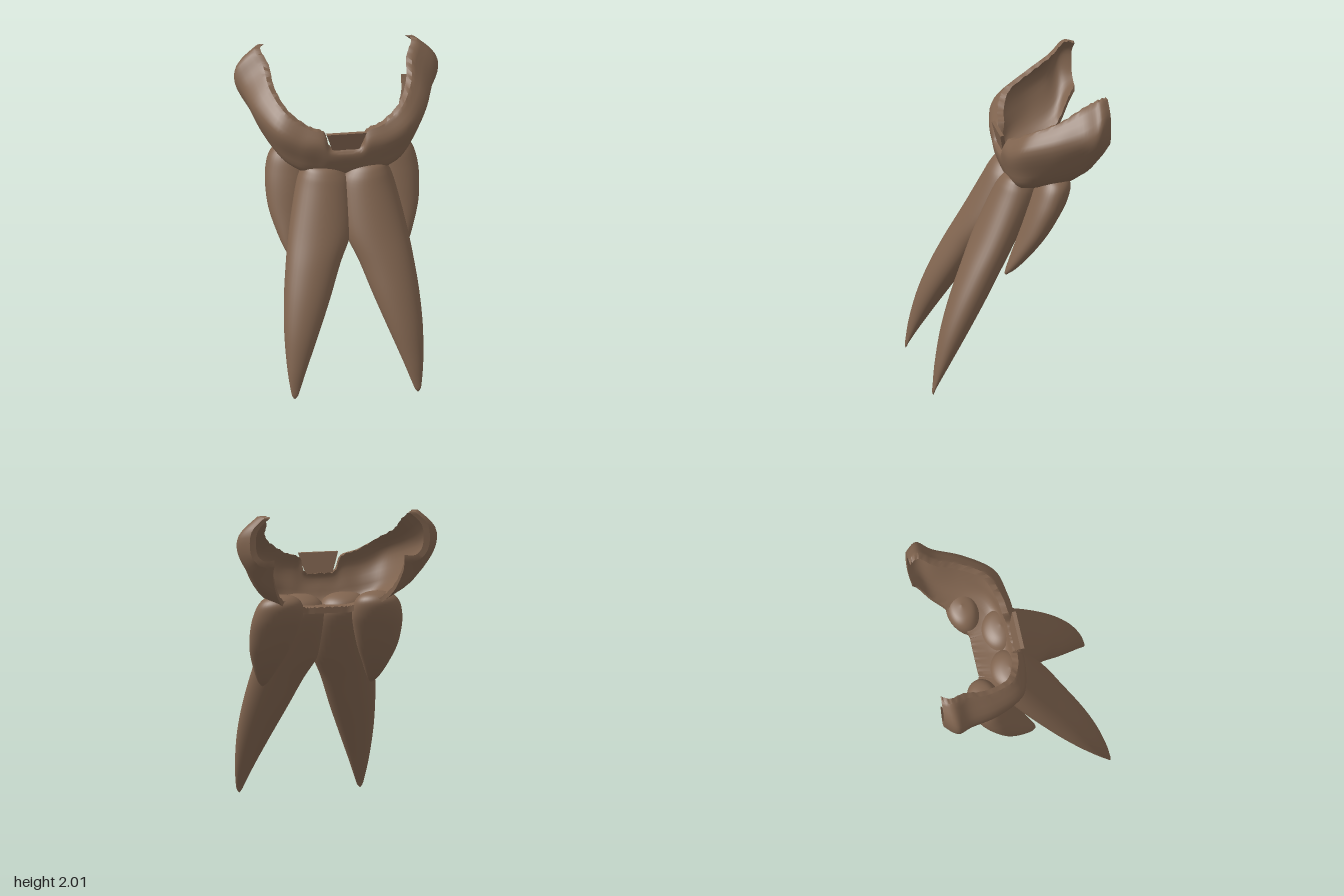
import * as THREE from 'three';
import { toCreasedNormals } from 'three/addons/utils/BufferGeometryUtils.js';

// Catmull-Rom interpolation through rows of numbers, t in 0..1
function spline(rows, t) {
  const last = rows.length - 1;
  const f = t * last, i = Math.min(Math.floor(f), last - 1), w = f - i;
  const row = k => rows[Math.max(0, Math.min(last, k))];
  const [a, b, c, d] = [row(i - 1), row(i), row(i + 1), row(i + 2)];
  return b.map((_, k) => b[k] + 0.5 * w * (c[k] - a[k]
    + w * (2 * a[k] - 5 * b[k] + 4 * c[k] - d[k] + w * (3 * (b[k] - c[k]) + d[k] - a[k]))));
}

function meshGeometry(positions, index) {
  const g = new THREE.BufferGeometry();
  g.setAttribute('position', new THREE.Float32BufferAttribute(positions, 3));
  g.setIndex(index);
  return g;
}

// Tusk sections from root to tip: y, inner x, outer x, front z, rear z
const FRONT_TUSK = [
  [1.40, 0.15, 0.15, -0.04, -0.04], [1.385, 0.06, 0.245, 0.02, -0.11],
  [1.34, 0.0, 0.285, 0.065, -0.165], [1.25, -0.04, 0.32, 0.115, -0.17],
  [1.0, -0.03, 0.38, 0.24, -0.04], [0.8, 0.06, 0.415, 0.34, 0.08],
  [0.6, 0.14, 0.44, 0.43, 0.20], [0.4, 0.225, 0.45, 0.50, 0.325],
  [0.2, 0.31, 0.442, 0.545, 0.45], [0.06, 0.365, 0.425, 0.563, 0.535],
  [0.02, 0.382, 0.415, 0.567, 0.553], [0.0, 0.40, 0.40, 0.561, 0.561],
];
const REAR_TUSK = [
  [1.44, 0.32, 0.32, -0.26, -0.26], [1.42, 0.225, 0.41, -0.19, -0.33],
  [1.37, 0.175, 0.465, -0.15, -0.36], [1.28, 0.165, 0.493, -0.11, -0.335],
  [1.18, 0.185, 0.50, -0.07, -0.28], [1.05, 0.225, 0.487, -0.02, -0.195],
  [0.92, 0.28, 0.445, 0.035, -0.09], [0.83, 0.32, 0.405, 0.07, 0.0],
  [0.79, 0.345, 0.375, 0.08, 0.055], [0.78, 0.36, 0.36, 0.068, 0.068],
];

function tuskGeometry(sections, side) {
  const rings = 60, seg = 36, pos = [], idx = [];
  for (let i = 0; i <= rings; i++) {
    const [y, xi, xo, zf, zr] = spline(sections, i / rings);
    for (let j = 0; j < seg; j++) {
      const a = j / seg * Math.PI * 2;
      pos.push(side * (xi + xo) / 2 + Math.cos(a) * (xo - xi) / 2, y,
        (zf + zr) / 2 + Math.sin(a) * (zf - zr) / 2);
      if (i === rings) continue;
      const p = i * seg + j, q = i * seg + (j + 1) % seg;
      idx.push(p, q, p + seg, q, q + seg, p + seg);
    }
  }
  const g = meshGeometry(pos, idx);
  g.computeVertexNormals();
  return g;
}

// Jaw stations from the middle to the left end; each is a C-shaped
// profile of x, y, z points: rim, upper bulge, lower bulge, base, inner lip
const JAW = [
  [0, 1.52, 0.03, 0, 1.49, 0.05, 0, 1.42, 0.035, 0, 1.31, -0.03, 0, 1.30, -0.245],
  [0.10, 1.53, 0.03, 0.10, 1.50, 0.05, 0.10, 1.42, 0.035, 0.10, 1.32, -0.03, 0.09, 1.30, -0.245],
  [0.14, 1.63, 0.01, 0.16, 1.56, 0.05, 0.17, 1.44, 0.03, 0.18, 1.33, -0.03, 0.14, 1.30, -0.245],
  [0.25, 1.67, -0.01, 0.29, 1.58, 0.035, 0.29, 1.46, 0.01, 0.28, 1.34, -0.05, 0.19, 1.32, -0.27],
  [0.38, 1.755, -0.08, 0.44, 1.65, -0.02, 0.42, 1.50, -0.06, 0.37, 1.38, -0.11, 0.25, 1.34, -0.32],
  [0.46, 1.84, -0.25, 0.55, 1.72, -0.20, 0.52, 1.56, -0.22, 0.44, 1.43, -0.25, 0.33, 1.38, -0.36],
  [0.485, 1.93, -0.40, 0.61, 1.79, -0.39, 0.585, 1.65, -0.39, 0.50, 1.51, -0.42, 0.39, 1.47, -0.45],
  [0.53, 2.0, -0.50, 0.65, 1.88, -0.49, 0.65, 1.75, -0.49, 0.56, 1.63, -0.51, 0.43, 1.60, -0.52],
  [0.50, 2.0, -0.57, 0.585, 1.91, -0.57, 0.59, 1.77, -0.57, 0.53, 1.69, -0.57, 0.43, 1.68, -0.56],
];
// Direction of wall thickness at each profile point: inward, up
const INWARD = [[1, 0], [1, 0], [1, 0.2], [0.7, 0.7], [0, 1]];

function jawGeometry() {
  const half = 48, n = 16, ring = 2 * n + 2, thick = 0.04, pos = [], idx = [];
  for (let u = -half; u <= half; u++) {
    const side = u < 0 ? -1 : 1;
    const s = spline(JAW, Math.abs(u) / half);
    const points = [0, 3, 6, 9, 12].map(k => [s[k], s[k + 1], s[k + 2]]);
    const dx = s[12] - s[3], dz = s[14] - s[5], len = Math.hypot(dx, dz);
    const outer = [], inner = [];
    for (let v = 0; v <= n; v++) {
      const [x, y, z] = spline(points, v / n);
      const [h, up] = spline(INWARD, v / n);
      // slightly ragged rim and lip
      const chip = v === 0 || v === n ? 0.005 * Math.sin(Math.abs(u) * 2.3) : 0;
      outer.push([side * x, y, z]);
      inner.unshift([side * (x + dx / len * h * thick), y + up * thick + chip, z + dz / len * h * thick]);
    }
    pos.push(...outer.flat(), ...inner.flat());
  }
  const columns = 2 * half;
  for (let u = 0; u < columns; u++) {
    for (let v = 0; v < ring; v++) {
      const a = u * ring + v, b = u * ring + (v + 1) % ring;
      idx.push(a, b, a + ring, b, b + ring, a + ring);
    }
  }
  // end faces
  const e = columns * ring;
  for (let v = 0; v < n; v++) {
    const i0 = ring - 1 - v, i1 = i0 - 1;
    idx.push(v, i0, v + 1, v + 1, i0, i1);
    idx.push(e + v, e + v + 1, e + i0, e + v + 1, e + i1, e + i0);
  }
  return toCreasedNormals(meshGeometry(pos, idx), 0.8);
}

// Small flared plate filling the notch in the front rim
function notchPlateGeometry() {
  const g = new THREE.BoxGeometry(2, 0.14, 0.025);
  const p = g.attributes.position;
  for (let i = 0; i < p.count; i++) {
    const top = p.getY(i) > 0;
    p.setX(i, p.getX(i) * (top ? 0.13 : 0.085));
    p.setZ(i, p.getZ(i) + (top ? 0.045 : 0.015));
  }
  g.translate(0, 1.58, 0);
  g.computeVertexNormals();
  return g;
}

export function createModel() {
  const model = new THREE.Group();
  const brown = new THREE.MeshStandardMaterial({ color: 0x80644f });
  brown.name = 'brown';
  const add = (name, geometry) => {
    const mesh = new THREE.Mesh(geometry, brown);
    mesh.name = name;
    model.add(mesh);
  };
  add('jawBand', jawGeometry());
  add('notchPlate', notchPlateGeometry());
  for (const [label, side] of [['left', 1], ['right', -1]]) {
    add(label + 'FrontTusk', tuskGeometry(FRONT_TUSK, side));
    add(label + 'RearTusk', tuskGeometry(REAR_TUSK, side));
  }
  return model;
}
